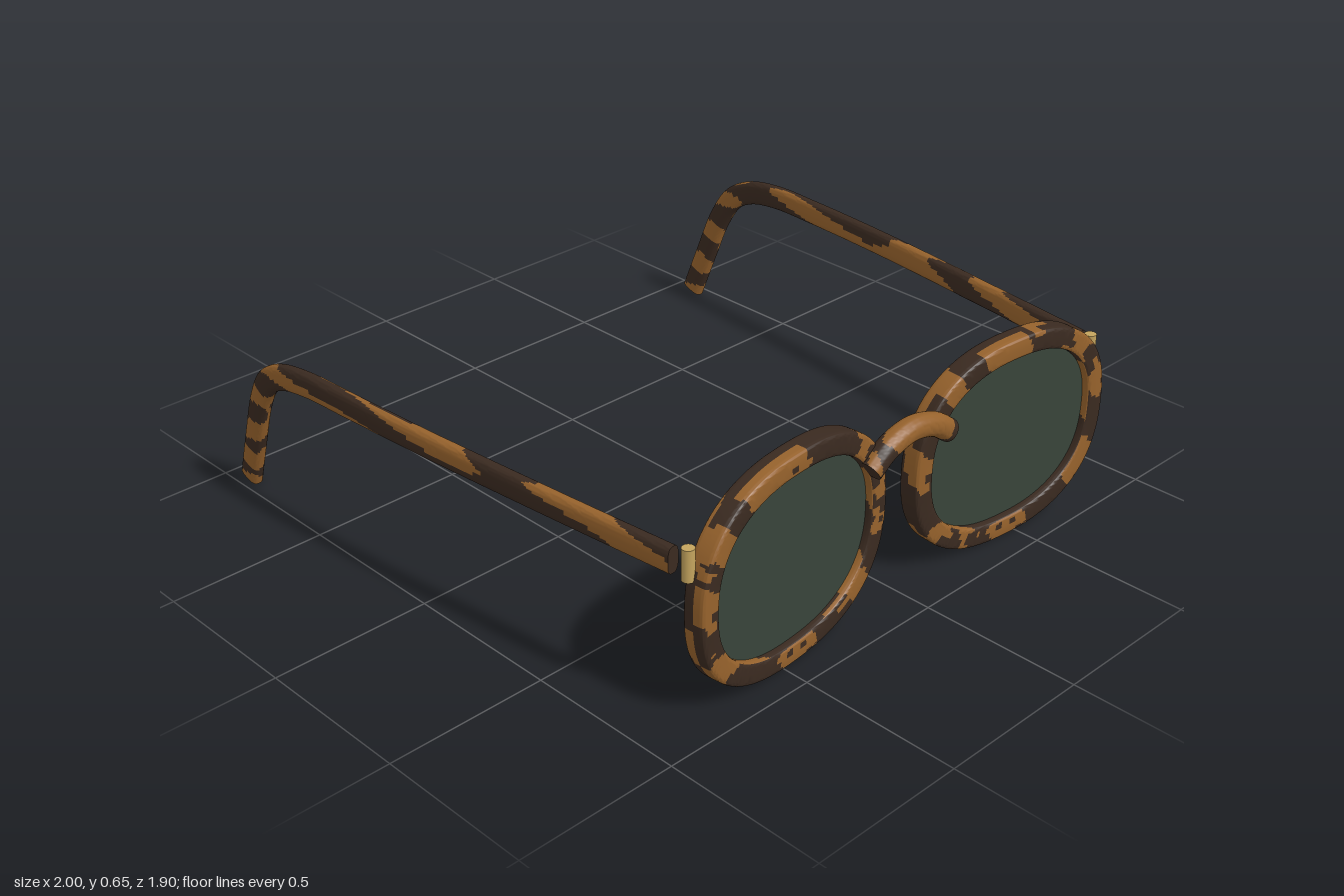
import * as THREE from 'three';
import { toCreasedNormals } from 'three/addons/utils/BufferGeometryUtils.js';

const mat = (name, color) => {
  const m = new THREE.MeshStandardMaterial({ color });
  m.name = name;
  return m;
};

// Signed power curve: a superellipse outline
const superPoint = (a, rx, ry, n) => {
  const c = Math.cos(a), s = Math.sin(a);
  return [rx * Math.sign(c) * Math.abs(c) ** (2 / n), ry * Math.sign(s) * Math.abs(s) ** (2 / n)];
};

// Smooth blotch field, stretched by the given frequencies
const blotch = (p, fx, fy, fz) =>
  Math.sin(fx * p.x + 1.6 * Math.sin(0.6 * fz * p.z + 0.8 * fy * p.y)) +
  Math.sin(fy * p.y + 1.4 * Math.sin(0.45 * fx * p.x + 1) + 0.5 * fz * p.z) +
  Math.sin(fz * p.z + 1.5 * Math.sin(0.7 * fy * p.y + 2));

// Skin through rings of points; each quad falls in the dark (0) or amber (1) group
function skin(rows, closed, isAmber) {
  const n = rows[0].length, pos = [], lists = [[], []];
  rows.forEach(r => r.forEach(p => pos.push(p.x, p.y, p.z)));
  const count = closed ? rows.length : rows.length - 1;
  for (let i = 0; i < count; i++) {
    const i2 = (i + 1) % rows.length;
    for (let j = 0; j < n; j++) {
      const j2 = (j + 1) % n;
      const mid = rows[i][j].clone().add(rows[i2][j2]).multiplyScalar(0.5);
      const a = i * n + j, b = i * n + j2, c = i2 * n + j2, d = i2 * n + j;
      lists[isAmber(mid, i / count, j / n) ? 1 : 0].push(a, b, c, a, c, d);
    }
  }
  if (!closed) {
    for (const i of [0, rows.length - 1]) {
      const mid = rows[i].reduce((s, p) => s.add(p), new THREE.Vector3()).divideScalar(n);
      const centre = pos.length / 3;
      pos.push(mid.x, mid.y, mid.z);
      for (let j = 0; j < n; j++) {
        const a = i * n + j, b = i * n + (j + 1) % n;
        lists[0].push(...(i ? [centre, a, b] : [centre, b, a]));
      }
    }
  }
  const g = new THREE.BufferGeometry();
  g.setAttribute('position', new THREE.Float32BufferAttribute(pos, 3));
  g.setIndex([...lists[0], ...lists[1]]);
  g.addGroup(0, lists[0].length, 0);
  g.addGroup(lists[0].length, lists[1].length, 1);
  return toCreasedNormals(g, 0.75);
}

// Rings of a constant cross-section carried along a curve
function sweepRows(curve, steps, side, ru, rv, power, segs) {
  const rows = [];
  for (let i = 0; i <= steps; i++) {
    const p = curve.getPointAt(i / steps), t = curve.getTangentAt(i / steps);
    const u = side.clone().addScaledVector(t, -side.dot(t)).normalize();
    const v = t.clone().cross(u);
    rows.push(Array.from({ length: segs }, (_, j) => {
      const [a, b] = superPoint(j / segs * Math.PI * 2, ru, rv, power);
      return p.clone().addScaledVector(u, a).addScaledVector(v, b);
    }));
  }
  return rows;
}

// Rim: a rounded-rectangle section carried round the eye outline
function rimGeometry(bands, seed) {
  const rows = [], steps = 240, segs = 48;
  for (let i = 0; i < steps; i++) {
    const a = i / steps * Math.PI * 2;
    const [ox, oy] = superPoint(a, 0.39, 0.327, 2.4);
    const [ix, iy] = superPoint(a, 0.324, 0.262, 2.4);
    rows.push(Array.from({ length: segs }, (_, j) => {
      const [w, d] = superPoint(j / segs * Math.PI * 2, 0.5, 0.035, 7);
      return new THREE.Vector3(ix + (ox - ix) * (w + 0.5), iy + (oy - iy) * (w + 0.5), -d);
    }));
  }
  return skin(rows, true, (p, t, s) => {
    const q = p.clone().add(new THREE.Vector3(seed, 0, 0));
    if (s < 0.62) return blotch(q, 19, 17, 40) > (s < 0.14 ? -0.1 : 0.35);
    const deg = t * 360 + 4 * Math.sin(p.x * 70 + p.y * 45) + 2 * Math.sin(p.y * 120 - p.x * 60);
    return bands.some(([from, to]) => deg > from && deg < to);
  });
}

export function createModel() {
  const model = new THREE.Group();
  model.name = 'sunglasses';
  const shell = [mat('dark tortoiseshell', 0x3a2a20), mat('amber tortoiseshell', 0x96622c)];
  const lensMat = mat('green grey lens', 0x38443a);
  const brass = mat('brass', 0xc4a45e);
  const add = (parent, name, geometry, material) => {
    const m = new THREE.Mesh(geometry, material);
    m.name = name;
    parent.add(m);
    return m;
  };

  // Amber bands on the front of each rim, in degrees
  const rightBands = [[5, 14], [38, 50], [88, 121], [138, 158], [166, 181], [203, 224], [263, 277], [302, 326], [349, 356]];
  const leftBands = [[4, 20], [36, 56], [82, 106], [124, 140], [168, 182], [212, 226], [240, 248], [263, 277], [312, 337]];

  const outline = Array.from({ length: 96 }, (_, i) =>
    new THREE.Vector2(...superPoint(i / 96 * Math.PI * 2, 0.33, 0.268, 2.4)));
  const lensGeometry = new THREE.ExtrudeGeometry(new THREE.Shape(outline), { depth: 0.02, bevelEnabled: false });
  lensGeometry.translate(0, 0, -0.01);

  for (const s of [-1, 1]) {
    const label = s > 0 ? 'left' : 'right';

    // Rim and lens, angled slightly inwards
    const eye = new THREE.Group();
    eye.name = label + 'Eye';
    eye.position.set(s * 0.455, 0.338, 0.882);
    eye.rotation.y = -s * 0.087;
    model.add(eye);
    add(eye, label + 'Rim', rimGeometry(s > 0 ? leftBands : rightBands, s * 0.7), shell);
    add(eye, label + 'Lens', lensGeometry, lensMat);

    // Hinge barrel
    const hinge = add(model, label + 'Hinge', new THREE.CylinderGeometry(0.018, 0.018, 0.095, 24), brass);
    hinge.position.set(s * 0.835, 0.488, 0.89);

    // Temple arm, bent down behind the ear
    const path = [
      [0.848, 0.487, 0.85], [0.888, 0.491, 0.5], [0.941, 0.498, 0], [0.967, 0.5, -0.35], [0.976, 0.497, -0.53],
      [0.979, 0.475, -0.65], [0.977, 0.43, -0.73], [0.972, 0.34, -0.79], [0.966, 0.19, -0.85], [0.959, 0.025, -0.912],
    ].map(([x, y, z]) => new THREE.Vector3(s * x, y, z));
    const rows = sweepRows(new THREE.CatmullRomCurve3(path), 200, new THREE.Vector3(1, 0, 0), 0.021, 0.04, 3, 36);
    add(model, label + 'Temple', skin(rows, false, p => blotch(p, 70, 48, 13) > 0.15), shell);
  }

  // Arched bridge in front of the rims
  const arch = [[-0.163, 0.48], [-0.1, 0.522], [0, 0.546], [0.1, 0.522], [0.163, 0.48]]
    .map(([x, y]) => new THREE.Vector3(x, y, 0.9));
  const bridgeRows = sweepRows(new THREE.CatmullRomCurve3(arch), 60, new THREE.Vector3(0, 0, 1), 0.034, 0.035, 2.2, 32);
  add(model, 'bridge', skin(bridgeRows, false, p => blotch(p, 26, 30, 35) > 0.5), shell);

  return model;
}
